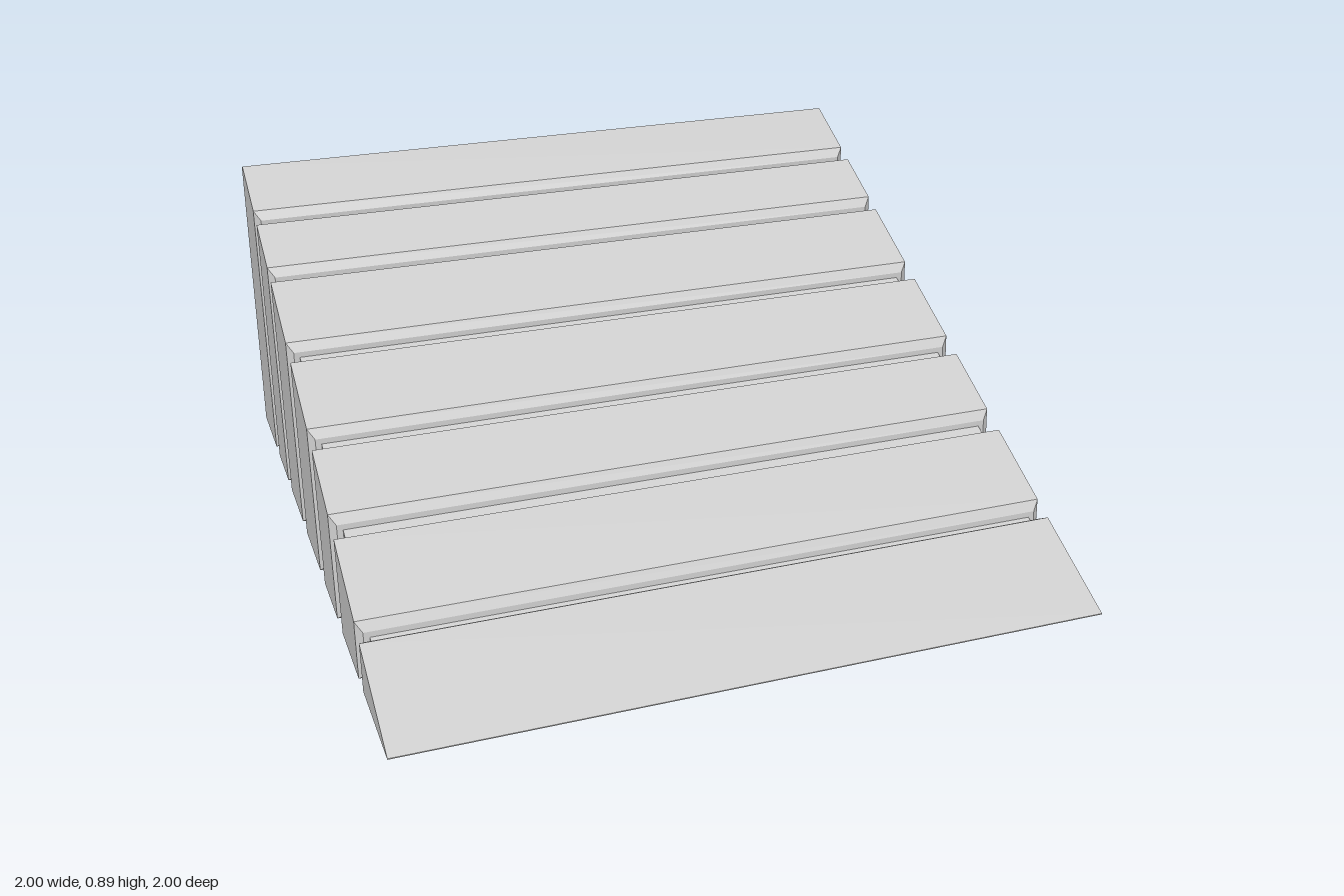
import * as THREE from 'three';

const material = new THREE.MeshStandardMaterial({ color: 0xcccccc, flatShading: true });
const SLOPE = 0.45, C = 0.019, INSET = 0.036;
const rampY = (z) => SLOPE * (1 - z);

// Leaning grooves: z of the front and rear lips at the top, then at the bottom
const grooves = [
  [0.688, 0.626, 0.698, 0.636],
  [0.382, 0.305, 0.41, 0.33],
  [0.097, 0.026, 0.135, 0.058],
  [-0.206, -0.278, -0.17, -0.244],
  [-0.507, -0.564, -0.455, -0.523],
  [-0.737, -0.794, -0.702, -0.77],
];

// Rectangular ring: half width, then top and bottom edges as z, y
const ring = (w, zt, yt, zb, yb) => [[-w, yb, zb], [w, yb, zb], [w, yt, zt], [-w, yt, zt]];

// Solid through rings running from front (+z) to back
function loft(rings) {
  const pos = [];
  const quad = (a, b, c, d) => pos.push(...a, ...b, ...c, ...a, ...c, ...d);
  quad(...rings[0]);
  for (let i = 0; i < rings.length - 1; i++) {
    const f = rings[i], b = rings[i + 1];
    for (let k = 0; k < 4; k++) {
      const n = (k + 1) % 4;
      quad(f[k], b[k], b[n], f[n]);
    }
  }
  quad(...[...rings[rings.length - 1]].reverse());
  const g = new THREE.BufferGeometry();
  g.setAttribute('position', new THREE.Float32BufferAttribute(pos, 3));
  g.computeVertexNormals();
  return g;
}

export function createModel() {
  const group = new THREE.Group();
  const add = (name, geometry) => {
    const mesh = new THREE.Mesh(geometry, material);
    mesh.name = name;
    group.add(mesh);
  };

  // Ramp segments with chamfered edges along each groove
  for (let i = 0; i <= grooves.length; i++) {
    const rings = [];
    if (i === 0) {
      rings.push(ring(1, 1, 0.003, 1, 0));
    } else {
      const [, zt, , zb] = grooves[i - 1];
      rings.push(ring(1 - C, zt + 0.016, rampY(zt) - 0.028, zb + C, C));
      rings.push(ring(1, zt, rampY(zt), zb, 0));
    }
    if (i === grooves.length) {
      rings.push(ring(1, -0.985, 0.893, -0.985, 0));
      rings.push(ring(1, -1, 0.885, -1, 0));
    } else {
      const [zt, , zb] = grooves[i];
      rings.push(ring(1, zt, rampY(zt), zb, 0));
      rings.push(ring(1 - C, zt - C, rampY(zt) - 0.011, zb - C, C));
    }
    add('rampSegment' + (i + 1), loft(rings));
  }

  // Inset core that forms the groove floors
  const coreRing = (z) => ring(1 - INSET, z, rampY(z) - INSET, z, INSET);
  add('core', loft([coreRing(0.75), coreRing(-0.9)]));

  return group;
}
